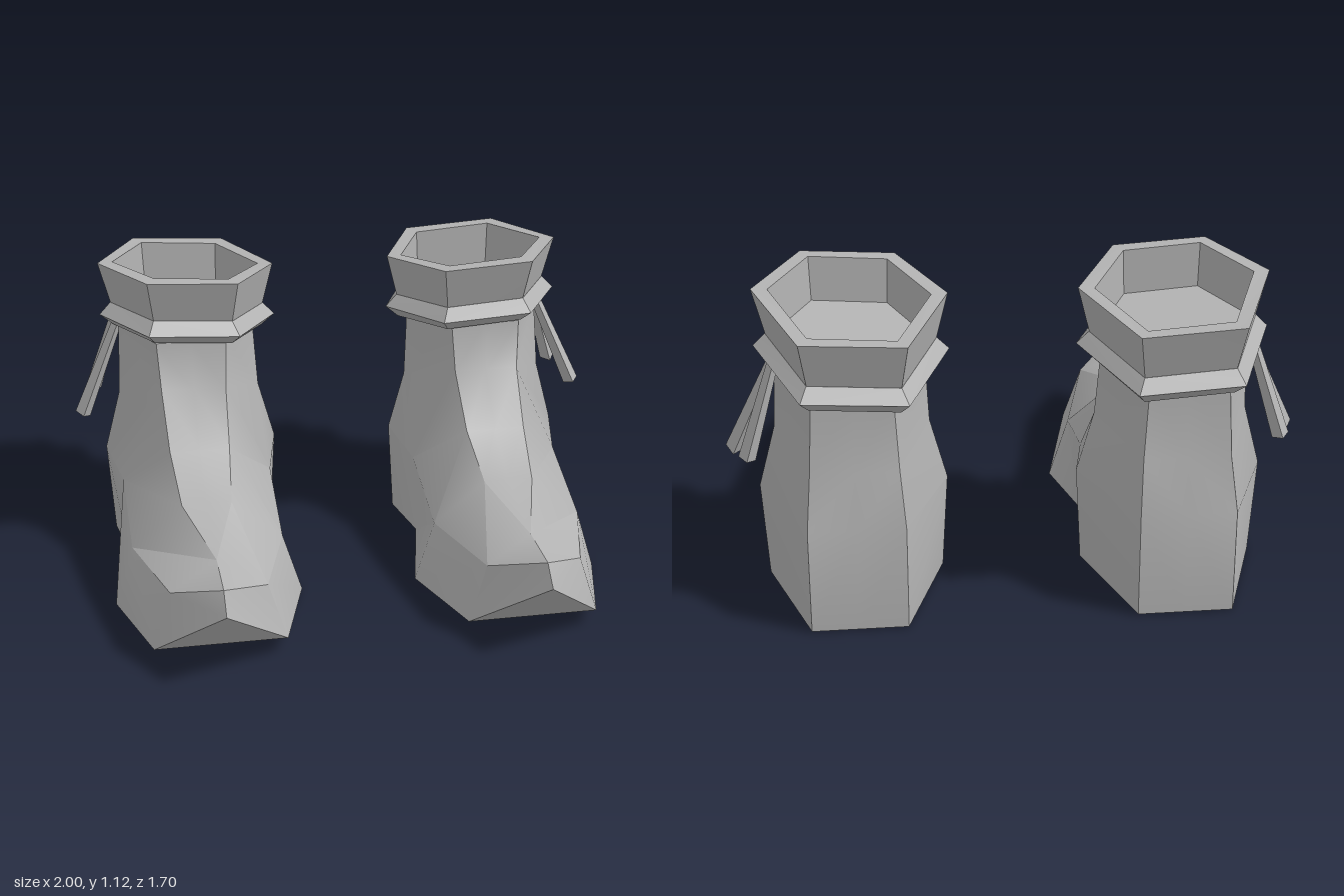
import * as THREE from 'three';
import { toCreasedNormals } from 'three/addons/utils/BufferGeometryUtils.js';

const leather = new THREE.MeshStandardMaterial({ color: 0xb2b2b2 });
leather.name = 'grey leather';

const CENTRE_X = 0.56;
const V = (x, y, z) => new THREE.Vector3(x, y, z);

// Fan-triangulated polygons, corners counter-clockwise from outside
function fromPolygons(polygons) {
  const points = [];
  for (const p of polygons)
    for (let i = 1; i < p.length - 1; i++) points.push(p[0], p[i], p[i + 1]);
  return new THREE.BufferGeometry().setFromPoints(points);
}

// Mesh for one foot; side -1 mirrors the shape and its winding
function part(name, geometry, side, crease) {
  const geo = geometry.index ? geometry.toNonIndexed() : geometry;
  const pos = geo.attributes.position;
  if (side < 0) {
    const pts = [];
    for (let i = 0; i < pos.count; i += 3)
      for (const k of [0, 2, 1]) pts.push(V(-pos.getX(i + k), pos.getY(i + k), pos.getZ(i + k)));
    geo.setFromPoints(pts);
  }
  const mesh = new THREE.Mesh(toCreasedNormals(geo, crease), leather);
  mesh.name = name;
  return mesh;
}

// Foot and ankle: one half as named points, mirrored about its middle
function bootBody() {
  const P = {
    tip: [0, 0.30, 0.85], apex: [0, 0.36, 0.77],
    // sole edge, toe to heel
    b0: [0.235, 0.06, 0.62], b1: [0.345, 0.01, 0.2], b2: [0.275, 0.04, -0.13],
    b3: [0.31, 0, -0.43], b4: [0.165, 0.005, -0.85],
    // side crease, toe to heel
    c0: [0.17, 0.27, 0.6], c1: [0.275, 0.24, 0.2], c2: [0.28, 0.33, -0.18],
    c3: [0.33, 0.355, -0.43], c4: [0.165, 0.38, -0.84],
    // instep strip, toe to ankle
    s0: [0, 0.35, 0.54], s1: [0.09, 0.4, 0.21], s2: [0.11, 0.51, -0.01], s3: [0.12, 0.68, -0.18],
    // ankle
    m: [0.27, 0.58, -0.43], h: [0.15, 0.56, -0.77],
    t0: [0.13, 0.86, -0.215], t1: [0.255, 0.85, -0.46], t2: [0.135, 0.83, -0.755],
  };
  // A trailing _ means the same point on the middle plane
  const faces = [
    'tip b0 c0 apex', 'tip b0_ b0', 'apex c0 s0', 's0 c0 c1 s1', 's1 c1 c2 s2', 's2 c2 s3',
    's3 c2 c3 m', 'm c3 c4 h', 's3 m t1 t0', 'm h t2 t1',
    's0 s1 s1_', 's1_ s1 s2 s2_', 's2_ s2 s3 s3_', 's3_ s3 t0 t0_',
    'b4 b4_ c4_ c4', 'c4 c4_ h_ h', 'h h_ t2_ t2', 't0_ t0 t1 t2 t2_',
  ];
  for (let i = 0; i < 4; i++) {
    faces.push(`b${i} b${i + 1} c${i + 1} c${i}`);
    faces.push(`b${i + 1}_ b${i + 1} b${i} b${i}_`);
  }
  const polygons = [];
  for (const half of [1, -1])
    for (const face of faces) {
      const poly = face.split(' ').map((n) => {
        const [x, y, z] = P[n.replace('_', '')];
        return V(CENTRE_X + (n.endsWith('_') ? 0 : half * x), y, z);
      });
      polygons.push(half > 0 ? poly : poly.reverse());
    }
  return fromPolygons(polygons);
}

// Tilted hexagonal band; profile is [scale, height] from the outside bottom
const HEX = [[-0.165, 0.345], [0.165, 0.345], [0.33, 0.045], [0.175, -0.345], [-0.175, -0.345], [-0.33, 0.045]];
function hexBand(profile, floor) {
  const rings = profile.map(([s, y]) =>
    HEX.map(([x, z]) => V(0.552 + x * s, y + 0.06 * x + 0.088 * z, -0.495 + z * s)));
  const polygons = [];
  for (let i = 0; i < rings.length - 1; i++)
    for (let j = 0; j < 6; j++) {
      const k = (j + 1) % 6;
      polygons.push([rings[i][j], rings[i][k], rings[i + 1][k], rings[i + 1][j]]);
    }
  if (floor) polygons.push(rings[rings.length - 1]);
  return fromPolygons(polygons);
}

// Hanging lace end: tapered four-sided strip between two points
function lace(from, to) {
  const dir = to.clone().sub(from);
  const geo = new THREE.CylinderGeometry(0.028, 0.046, dir.length(), 4);
  geo.scale(0.65, 1, 1);
  const turn = new THREE.Quaternion().setFromUnitVectors(V(0, -1, 0), dir.clone().normalize());
  geo.applyQuaternion(turn);
  const mid = from.clone().add(to).multiplyScalar(0.5);
  return geo.translate(mid.x, mid.y, mid.z);
}

export function createModel() {
  const model = new THREE.Group();
  model.name = 'pair of ankle boots';
  for (const side of [1, -1]) {
    const boot = new THREE.Group();
    boot.name = side > 0 ? 'leftBoot' : 'rightBoot';
    boot.add(
      part('bootBody', bootBody(), side, 0.6),
      part('cuff', hexBand([[0.87, 0.91], [1, 1.08], [0.83, 1.08], [0.8, 0.92]], true), side, 0.3),
      part('ankleBand', hexBand([[0.77, 0.82], [0.86, 0.83], [1.01, 0.875], [0.88, 0.92], [0.8, 0.92]]), side, 0.3),
      part('frontLace', lace(V(0.81, 0.88, -0.48), V(0.972, 0.505, -0.425)), side, 0.3),
      part('backLace', lace(V(0.81, 0.9, -0.54), V(0.92, 0.545, -0.595)), side, 0.3),
    );
    model.add(boot);
  }
  return model;
}
